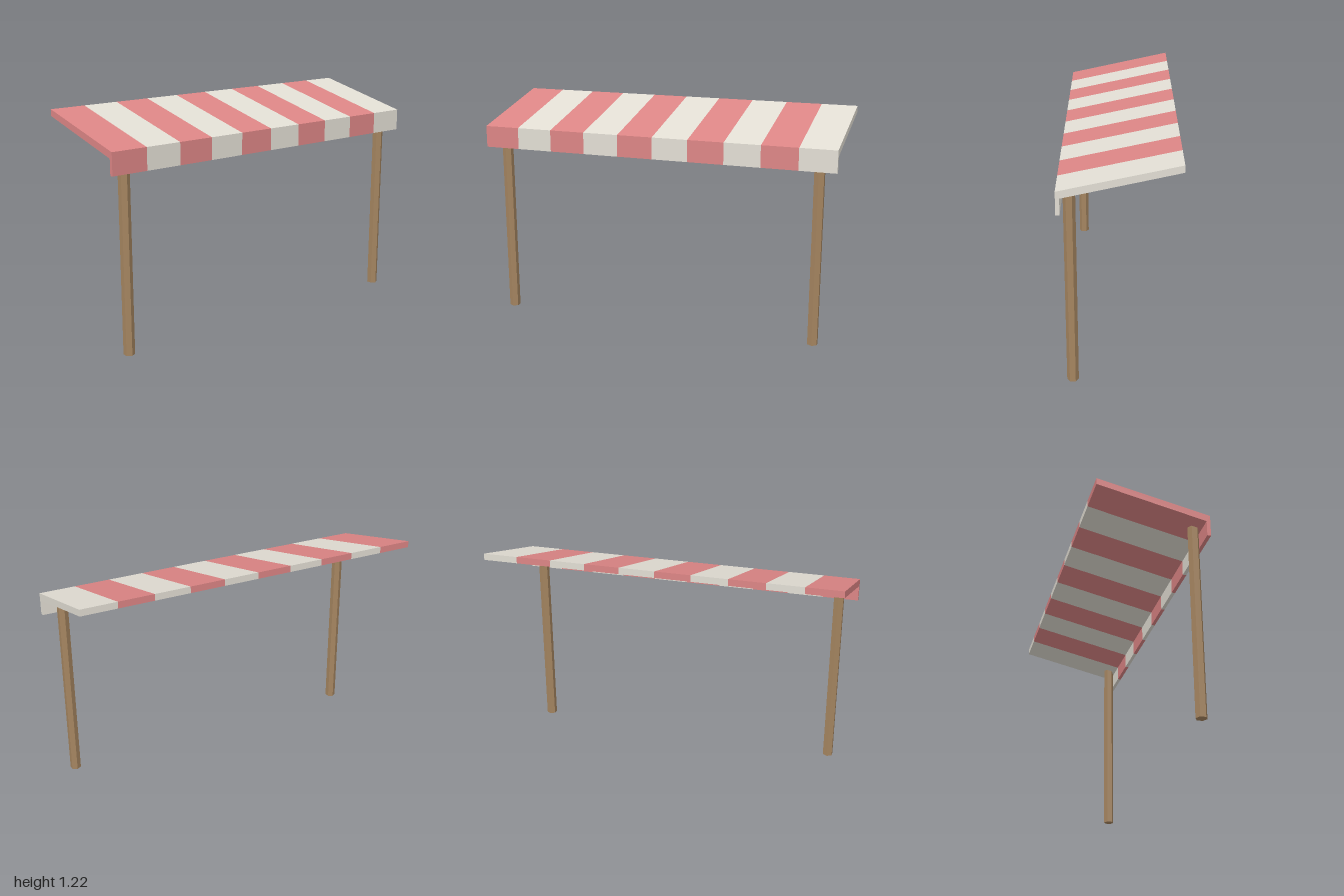
import * as THREE from 'three';

const material = (color) => new THREE.MeshStandardMaterial({ color, flatShading: true });

export function createModel() {
  const group = new THREE.Group();
  group.name = 'stripedAwning';
  const red = material(0xdc8585);
  const cream = material(0xe2ded4);
  const wood = material(0xa58560);

  // Side profile of the canopy: sloping slab with a hanging front valance
  // (first coordinate is -z, second is y)
  const profile = new THREE.Shape([
    [-0.3, 0.97], [-0.28, 0.97], [-0.28, 1.055], [0.3, 1.184], [0.3, 1.22], [-0.3, 1.09],
  ].map(([s, y]) => new THREE.Vector2(s, y)));

  // Ten stripes of alternating colour, each extruded along x
  const stripes = 10;
  const width = 2 / stripes;
  const stripeGeometry = new THREE.ExtrudeGeometry(profile, { depth: width, bevelEnabled: false });
  stripeGeometry.rotateY(Math.PI / 2);
  const canopy = new THREE.Group();
  canopy.name = 'canopy';
  for (let i = 0; i < stripes; i++) {
    const stripe = new THREE.Mesh(stripeGeometry, i % 2 ? cream : red);
    stripe.name = i % 2 ? 'creamStripe' : 'redStripe';
    stripe.position.x = -1 + i * width;
    canopy.add(stripe);
  }
  group.add(canopy);

  // Hexagonal front posts, their tops sunk slightly into the canopy
  const postHeight = 1.07;
  const postGeometry = new THREE.CylinderGeometry(0.03, 0.03, postHeight, 6);
  for (const side of [-1, 1]) {
    const post = new THREE.Mesh(postGeometry, wood);
    post.name = side > 0 ? 'leftPost' : 'rightPost';
    post.position.set(side * 0.9, postHeight / 2, 0.24);
    group.add(post);
  }

  return group;
}
